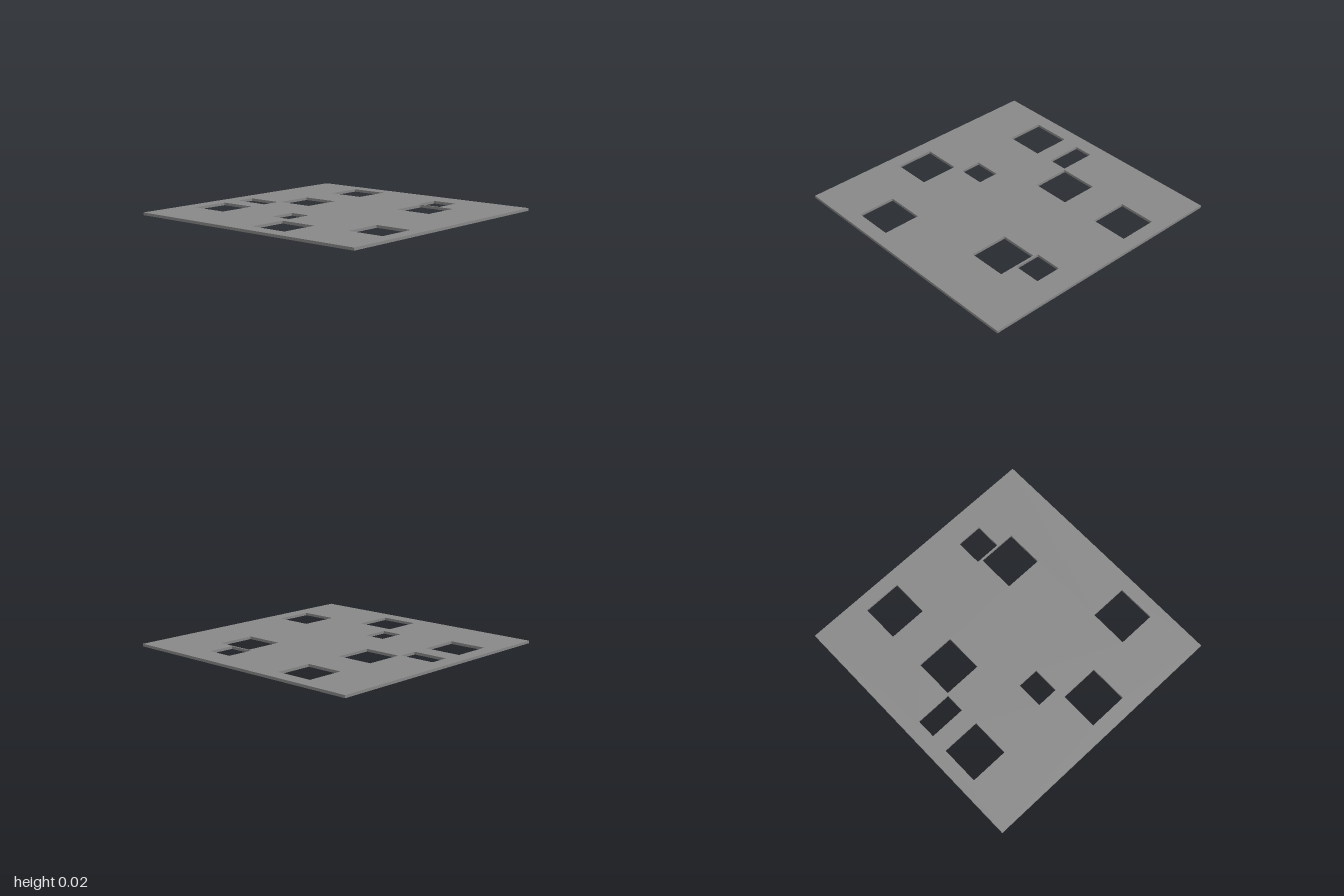
import * as THREE from 'three';

const THICKNESS = 0.02;

// Rectangular openings: [xMin, xMax, zMin, zMax]
const OPENINGS = [
  [-0.59, -0.295, -0.89, -0.6],
  [0.27, 0.47, -0.815, -0.61],
  [0.303, 0.6, -0.597, -0.305],
  [-0.59, -0.298, -0.302, -0.005],
  [-0.883, -0.603, 0.01, 0.16],
  [-0.89, -0.595, 0.298, 0.595],
  [-0.175, -0.01, 0.309, 0.513],
  [0.602, 0.893, 0.292, 0.588],
  [0, 0.3, 0.592, 0.887],
];

// Traces a rectangle in the floor plane (shape y is -z)
function traceRect(path, [x0, x1, z0, z1]) {
  path.moveTo(x0, -z1);
  path.lineTo(x1, -z1);
  path.lineTo(x1, -z0);
  path.lineTo(x0, -z0);
  path.closePath();
  return path;
}

export function createModel() {
  const group = new THREE.Group();
  group.name = 'perforatedSlab';

  // Thin square slab with the openings cut through it
  const outline = traceRect(new THREE.Shape(), [-1, 1, -1, 1]);
  outline.holes = OPENINGS.map((rect) => traceRect(new THREE.Path(), rect));

  const geometry = new THREE.ExtrudeGeometry(outline, { depth: THICKNESS, bevelEnabled: false });
  geometry.rotateX(-Math.PI / 2);

  const slab = new THREE.Mesh(geometry, new THREE.MeshStandardMaterial({ color: 0x888888 }));
  slab.name = 'floorSlab';
  group.add(slab);
  return group;
}
